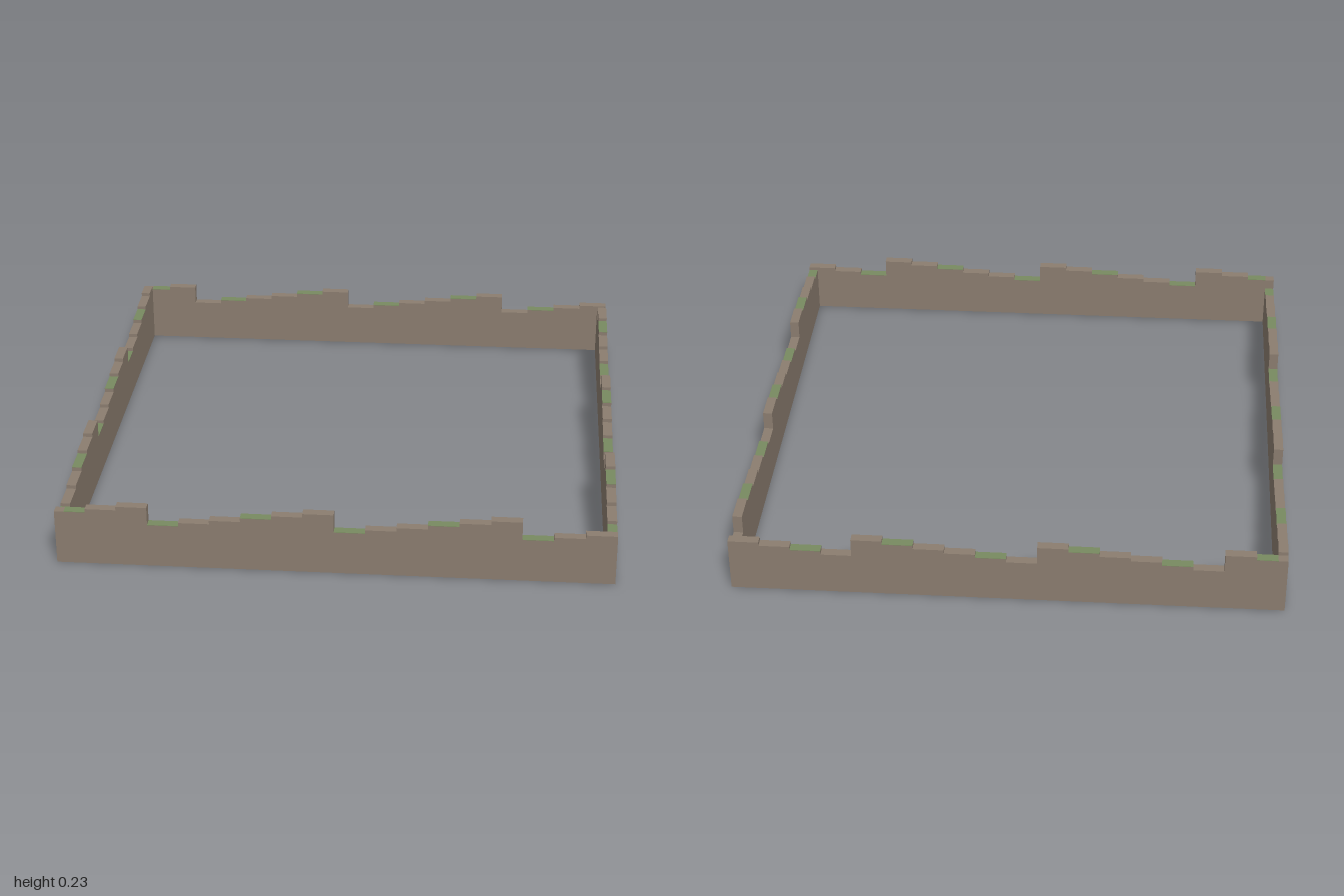
import * as THREE from 'three';

const BLOCKS = 18;       // steps along each wall
const WIDTH = 2 / BLOCKS;
const THICK = 0.035;
const LOW = 0.165;       // lowest step
const RISE = 0.014;      // height gained per step
const MOSS = 0.0015;     // moss plate thickness

// One wall along local x: a stepped silhouette with moss on every third step.
function makeWall(name, phase, halfLength, near, stone, moss) {
  const wall = new THREE.Group();
  wall.name = name;
  const clamp = (v) => Math.max(-halfLength, Math.min(halfLength, v));

  const shape = new THREE.Shape();
  shape.moveTo(halfLength, 0);
  shape.lineTo(-halfLength, 0);
  for (let i = 0; i < BLOCKS; i++) {
    const a = clamp(-1 + i * WIDTH);
    const b = clamp(-1 + (i + 1) * WIDTH);
    const top = LOW + RISE * ((i + phase) % 6);
    shape.lineTo(a, top);
    shape.lineTo(b, top);

    if (i % 3 === 0) {
      // Moss stops short of the corner stones
      const start = Math.max(a, -1 + THICK);
      const plate = new THREE.Mesh(new THREE.BoxGeometry(b - start, MOSS, THICK), moss);
      plate.name = 'mossTop';
      plate.position.set((start + b) / 2, top + MOSS / 2, near + THICK / 2);
      wall.add(plate);
    }
  }
  shape.closePath();

  const body = new THREE.Mesh(
    new THREE.ExtrudeGeometry(shape, { depth: THICK, bevelEnabled: false }), stone);
  body.name = 'steppedStone';
  body.position.z = near;
  wall.add(body);
  return wall;
}

export function createModel() {
  const stone = new THREE.MeshStandardMaterial({ color: 0x8b7d6f });
  stone.name = 'stone';
  const moss = new THREE.MeshStandardMaterial({ color: 0x788a60 });
  moss.name = 'moss';

  const model = new THREE.Group();
  model.name = 'steppedWallEnclosure';

  // Front and back walls span the full width
  model.add(makeWall('frontWall', 3, 1, 1 - THICK, stone, moss));
  model.add(makeWall('backWall', 4, 1, -1, stone, moss));

  // Side walls fit between them, stepping from front to back
  const left = makeWall('leftWall', 1, 1 - THICK, 1 - THICK, stone, moss);
  const right = makeWall('rightWall', 0, 1 - THICK, -1, stone, moss);
  for (const side of [left, right]) {
    side.rotation.y = Math.PI / 2;
    model.add(side);
  }
  return model;
}
